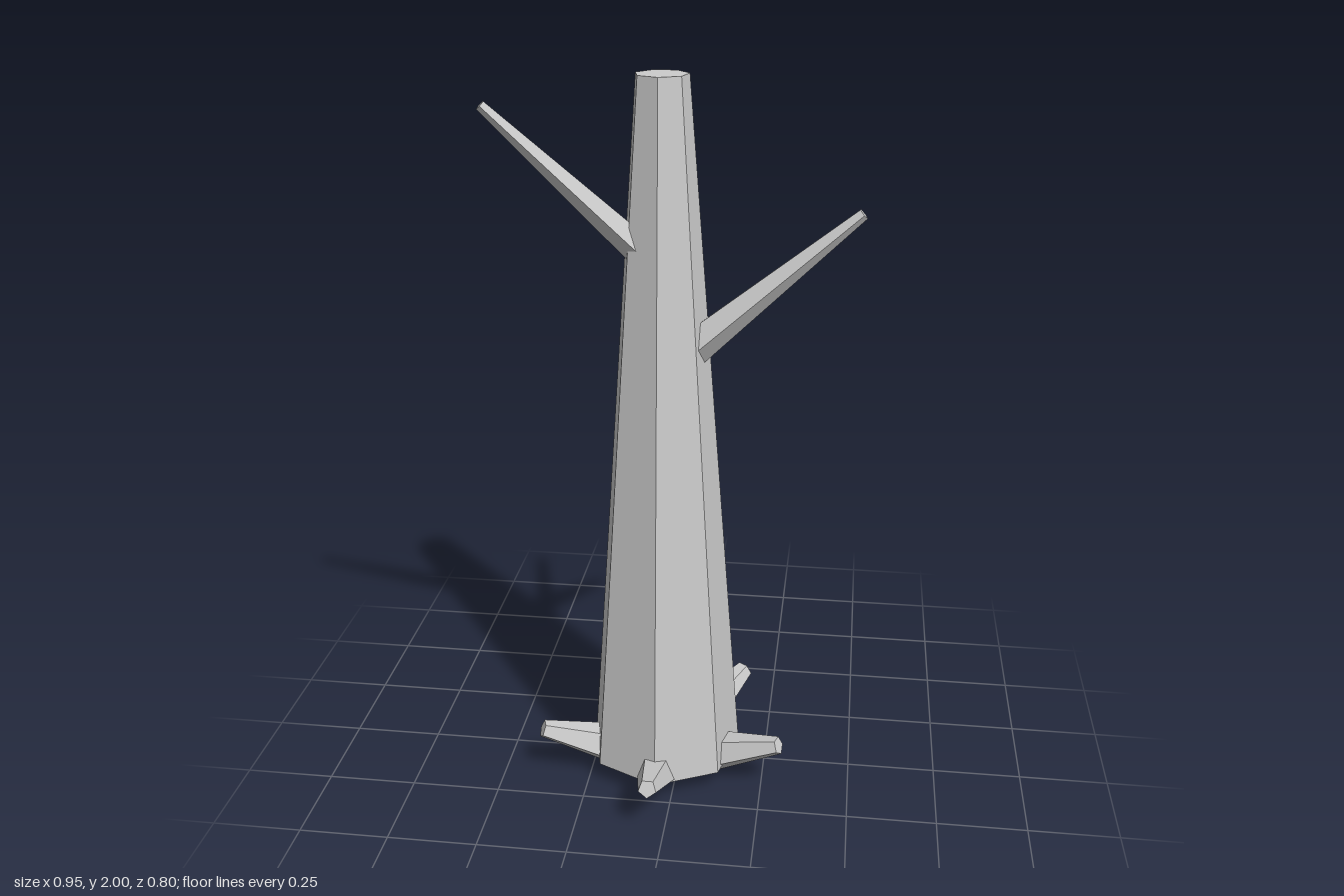
import * as THREE from 'three';

const bark = new THREE.MeshStandardMaterial({ color: 0xcccccc });
bark.name = 'greyBark';

// Axis of the trunk, slightly off the middle
const CX = -0.043, CZ = 0.033;

function flatMesh(name, geometry) {
  const geo = geometry.toNonIndexed();
  geo.computeVertexNormals();
  const mesh = new THREE.Mesh(geo, bark);
  mesh.name = name;
  return mesh;
}

// Tapered five-sided limb between two points, one ridge pointing down (turned by roll degrees)
function limb(name, from, to, r0, r1, roll = 0) {
  const a = new THREE.Vector3(...from), b = new THREE.Vector3(...to);
  const dir = b.clone().sub(a);
  const length = dir.length();
  dir.normalize();
  const down = new THREE.Vector3(0, -1, 0).addScaledVector(dir, dir.y).normalize();
  const side = dir.clone().cross(down);
  const geo = new THREE.CylinderGeometry(r1, r0, length, 5);
  geo.rotateY(THREE.MathUtils.degToRad(roll));
  const mid = a.add(b).multiplyScalar(0.5);
  geo.applyMatrix4(new THREE.Matrix4().makeBasis(side, dir, down).setPosition(mid));
  return flatMesh(name, geo);
}

export function createModel() {
  const tree = new THREE.Group();
  tree.name = 'deadTree';

  // Seven-sided tapering trunk with a cut top
  const trunk = new THREE.CylinderGeometry(0.07, 0.22, 1.942, 7);
  trunk.translate(CX, 0.058 + 0.971, CZ);
  tree.add(flatMesh('trunk', trunk));

  // Bare branches, their thick ends sunk into the trunk
  tree.add(limb('leftBranch', [0.035, 1.297, 0.043], [0.466, 1.667, 0.038], 0.051, 0.016, -10));
  tree.add(limb('rightBranch', [-0.09, 1.557, 0.063], [-0.47, 1.936, 0.162], 0.043, 0.014, 10));
  tree.add(limb('backBranch', [-0.01, 1.022, -0.05], [-0.01, 1.255, -0.395], 0.038, 0.013, -10));

  // Five stubby roots around the foot
  for (let i = 0; i < 5; i++) {
    const t = (i * Math.PI * 2) / 5;
    const at = (r, y) => [CX + Math.sin(t) * r, y, CZ + Math.cos(t) * r];
    tree.add(limb('root' + (i + 1), at(0.135, 0.061), at(0.36, 0.147), 0.065, 0.026));
  }
  return tree;
}
